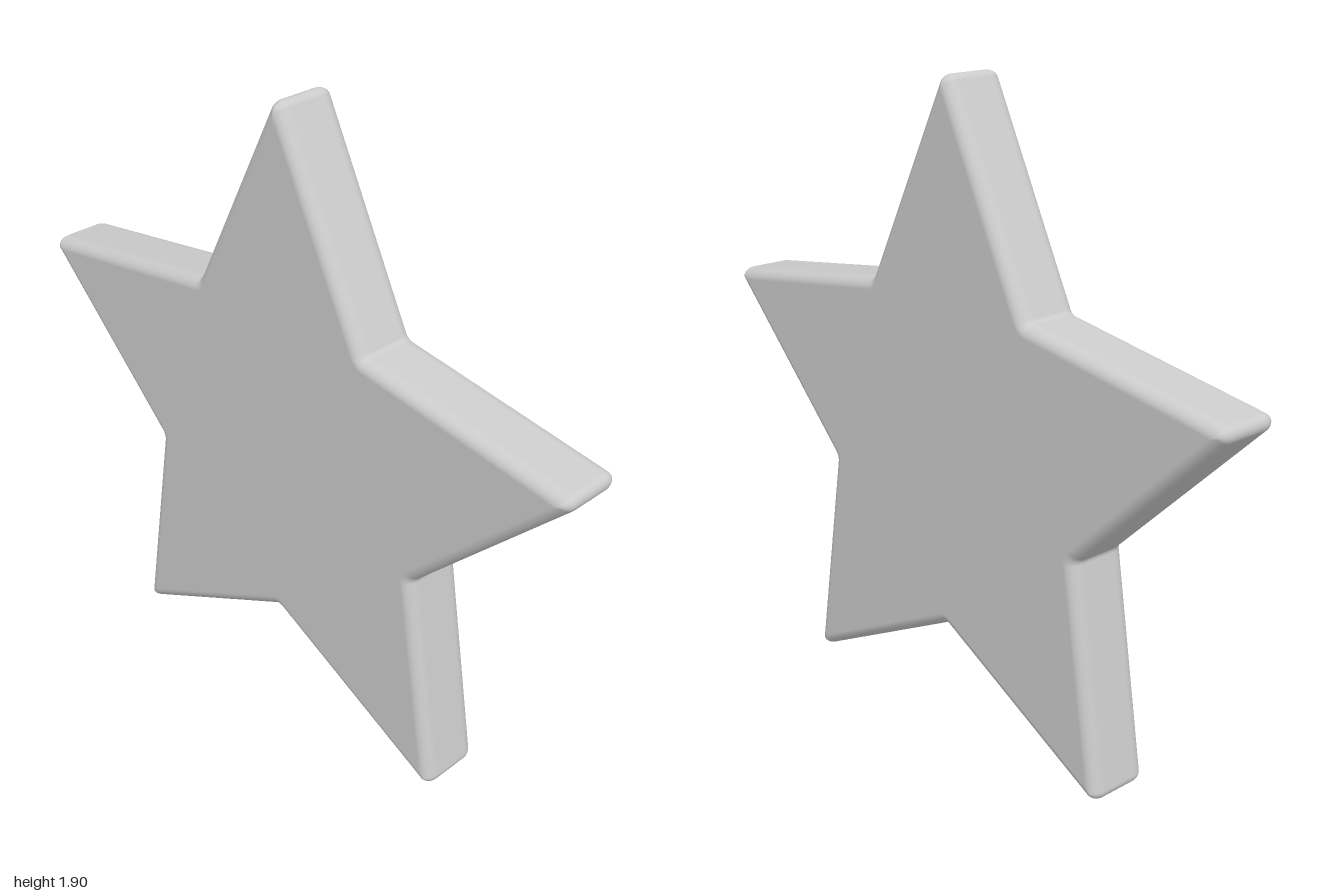
import * as THREE from 'three';

const CENTER_Y = 0.857;
const HALF_DEPTH = 0.1;
const EDGE_DIST = 0.485;                       // star centre to each straight edge
const TIP_TURN = THREE.MathUtils.degToRad(63.3); // edge normal relative to tip axis
const NOTCH_TURN = TIP_TURN - Math.PI / 5;
const ARC_STEPS = 8;

// Star outline moved inward by `inset`, with rounded tips and notches
function starOutline(inset) {
  const points = [];
  for (let i = 0; i < 10; i++) {
    const isTip = i % 2 === 0;
    const axis = Math.PI / 2 + i * Math.PI / 5;
    const turn = isTip ? TIP_TURN : -NOTCH_TURN;
    const sign = isTip ? 1 : -1;
    const radius = isTip ? Math.max(0.026 - inset, 0.004) : 0.02 + inset;
    // centre of the corner arc lies on the corner's axis
    const dist = (EDGE_DIST - inset - sign * radius) / Math.cos(turn);
    for (let j = 0; j <= ARC_STEPS; j++) {
      const a = axis + turn * (2 * j / ARC_STEPS - 1);
      const nx = Math.cos(a), ny = Math.sin(a);
      points.push({
        x: dist * Math.cos(axis) + sign * radius * nx,
        y: dist * Math.sin(axis) + sign * radius * ny,
        nx, ny,
      });
    }
  }
  return points;
}

// Rounded rim: quarter-ellipse bevel, straight wall, quarter-ellipse bevel
function rimSections(bevelInset, bevelDepth, steps) {
  const sections = [];
  for (const side of [-1, 1]) {
    for (let k = 0; k <= steps; k++) {
      const t = (side < 0 ? k / steps - 1 : k / steps) * Math.PI / 2;
      const slope = new THREE.Vector2(Math.cos(t) / bevelInset, Math.sin(t) / bevelDepth).normalize();
      sections.push({
        inset: bevelInset * (1 - Math.cos(t)),
        z: side * (HALF_DEPTH - bevelDepth) + bevelDepth * Math.sin(t),
        out: slope.x,
        nz: slope.y,
      });
    }
  }
  return sections;
}

function starGeometry() {
  const position = [], normal = [], index = [];
  const sections = rimSections(0.035, 0.042, 8);
  const n = 10 * (ARC_STEPS + 1);

  // rim
  sections.forEach((s, k) => {
    for (const p of starOutline(s.inset)) {
      position.push(p.x, p.y, s.z);
      normal.push(p.nx * s.out, p.ny * s.out, s.nz);
    }
    if (k === 0) return;
    for (let i = 0; i < n; i++) {
      const a = (k - 1) * n + i, b = (k - 1) * n + (i + 1) % n;
      index.push(a, b, b + n, a, b + n, a + n);
    }
  });

  // flat front and back faces, fanned from the centre
  for (const [side, ring] of [[-1, 0], [1, sections.length - 1]]) {
    const hub = position.length / 3;
    position.push(0, 0, side * HALF_DEPTH);
    normal.push(0, 0, side);
    for (let i = 0; i < n; i++) {
      const a = ring * n + i, b = ring * n + (i + 1) % n;
      if (side > 0) index.push(hub, a, b);
      else index.push(hub, b, a);
    }
  }

  const geometry = new THREE.BufferGeometry();
  geometry.setAttribute('position', new THREE.Float32BufferAttribute(position, 3));
  geometry.setAttribute('normal', new THREE.Float32BufferAttribute(normal, 3));
  geometry.setIndex(index);
  return geometry;
}

export function createModel() {
  const group = new THREE.Group();
  group.name = 'roundedStar';
  const star = new THREE.Mesh(starGeometry(), new THREE.MeshStandardMaterial({ color: 0xcccccc }));
  star.name = 'star';
  star.position.y = CENTER_Y;
  group.add(star);
  return group;
}
